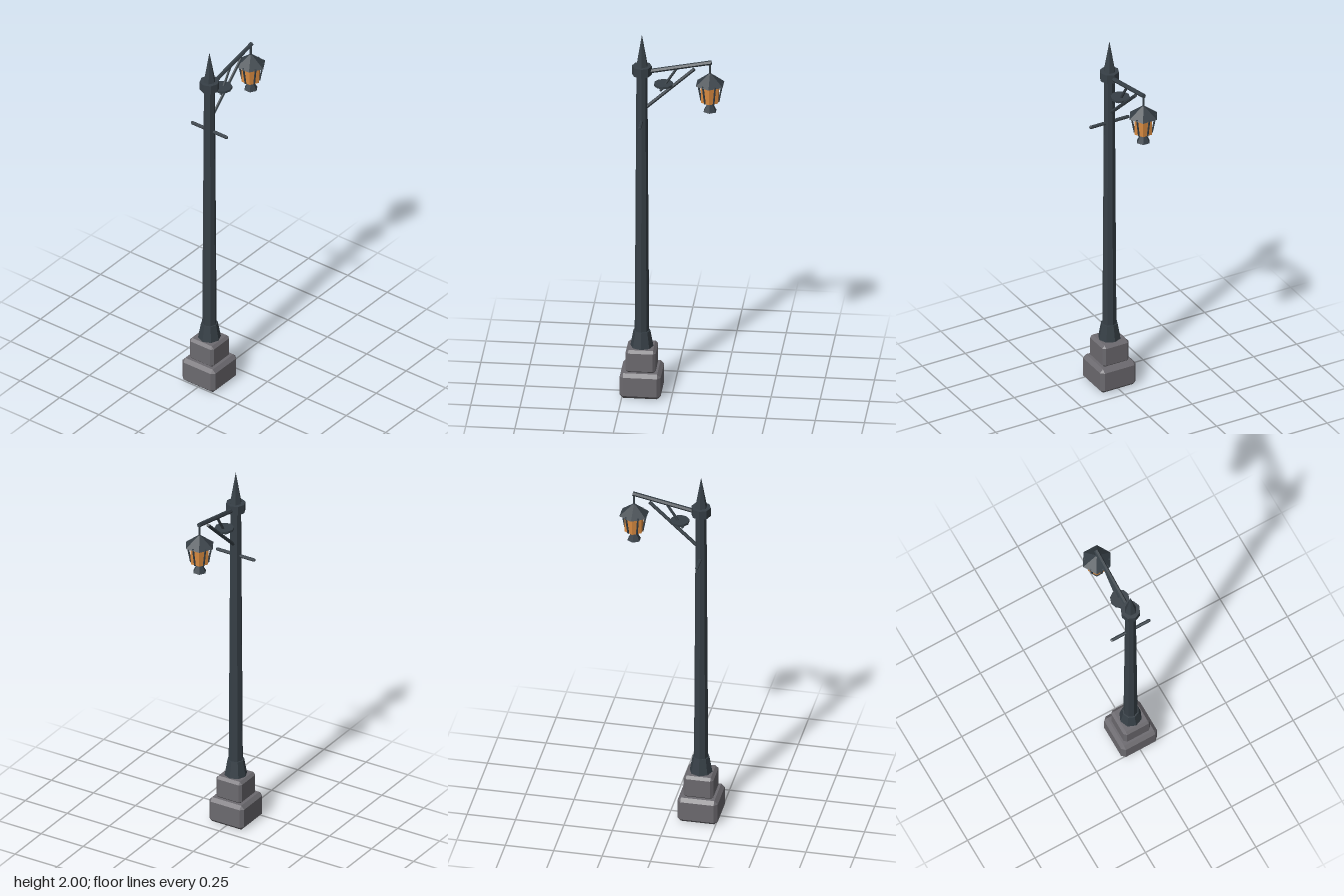
import * as THREE from 'three';
import { ConvexGeometry } from 'three/addons/geometries/ConvexGeometry.js';

const make = (name, hex) => {
  const m = new THREE.MeshStandardMaterial({ color: hex, flatShading: true });
  m.name = name;
  return m;
};

export function createModel() {
  const iron = make('dark iron', 0x374047);
  const stone = make('grey stone', 0x6c6a6f);
  const glass = make('amber glass', 0xd88a40);
  const group = new THREE.Group();
  const POLE_X = -0.156, LAMP_X = 0.19;

  const add = (name, geometry, material, x = 0, y = 0, z = 0) => {
    const mesh = new THREE.Mesh(geometry, material);
    mesh.name = name;
    mesh.position.set(x, y, z);
    group.add(mesh);
    return mesh;
  };

  // Upright tapered prism between two heights
  const prism = (name, material, x, y0, y1, r0, r1, sides) =>
    add(name, new THREE.CylinderGeometry(r1, r0, y1 - y0, sides), material, x, (y0 + y1) / 2);

  // Straight rod between two points
  const rod = (name, a, b, r, sides = 6) => {
    const p = new THREE.Vector3(...a), q = new THREE.Vector3(...b);
    const d = q.clone().sub(p);
    const mesh = add(name, new THREE.CylinderGeometry(r, r, d.length(), sides), iron);
    mesh.position.copy(p).add(q).multiplyScalar(0.5);
    mesh.quaternion.setFromUnitVectors(new THREE.Vector3(0, 1, 0), d.normalize());
    return mesh;
  };

  // Block with every edge chamfered
  const block = (name, w, y0, y1, c) => {
    const h = (y1 - y0) / 2, a = w / 2, pts = [];
    for (const sx of [-1, 1]) for (const sy of [-1, 1]) for (const sz of [-1, 1]) {
      pts.push(new THREE.Vector3(sx * a, sy * (h - c), sz * (a - c)));
      pts.push(new THREE.Vector3(sx * (a - c), sy * h, sz * (a - c)));
      pts.push(new THREE.Vector3(sx * (a - c), sy * (h - c), sz * a));
    }
    add(name, new ConvexGeometry(pts), stone, POLE_X, (y0 + y1) / 2);
  };

  // Stone footing
  block('lowerPlinth', 0.208, 0, 0.138, 0.018);
  block('upperPlinth', 0.153, 0.132, 0.258, 0.014);

  // Post
  prism('postFoot', iron, POLE_X, 0.25, 0.345, 0.06, 0.043, 8);
  prism('post', iron, POLE_X, 0.3, 1.8, 0.037, 0.028, 8);
  prism('postCollar', iron, POLE_X, 1.778, 1.826, 0.05, 0.05, 8);
  prism('spike', iron, POLE_X, 1.82, 2.0, 0.033, 0, 6);

  // Ladder bar with tapered tips
  rod('ladderBar', [POLE_X, 1.525, -0.108], [POLE_X, 1.525, 0.108], 0.009, 8);
  for (const s of [-1, 1]) {
    const tip = add('ladderBarTip', new THREE.CylinderGeometry(0.006, 0.009, 0.006, 8), iron, POLE_X, 1.525, s * 0.111);
    tip.rotation.x = s * Math.PI / 2;
  }

  // Bracket arm, braces and disc
  rod('arm', [POLE_X, 1.79, 0], [0.197, 1.861, 0], 0.0115);
  rod('longBrace', [-0.145, 1.585, 0], [0.11, 1.82, 0], 0.009);
  rod('shortBrace', [0.022, 1.822, 0], [-0.062, 1.69, 0], 0.007);
  prism('bracketDisc', iron, -0.046, 1.722, 1.734, 0.049, 0.049, 10);

  // Lantern
  rod('hanger', [LAMP_X, 1.785, 0], [LAMP_X, 1.855, 0], 0.006);
  prism('lanternRoof', iron, LAMP_X, 1.741, 1.802, 0.079, 0.003, 6);
  prism('lanternGlass', glass, LAMP_X, 1.645, 1.743, 0.05, 0.052, 6);
  for (let i = 0; i < 6; i++) {
    const c = Math.cos(i * Math.PI / 3), s = Math.sin(i * Math.PI / 3);
    rod('lanternPost', [LAMP_X + c * 0.044, 1.645, s * 0.044], [LAMP_X + c * 0.063, 1.748, s * 0.063], 0.005);
  }
  prism('lanternFinial', iron, LAMP_X, 1.59, 1.647, 0.036, 0.006, 6);

  return group;
}
